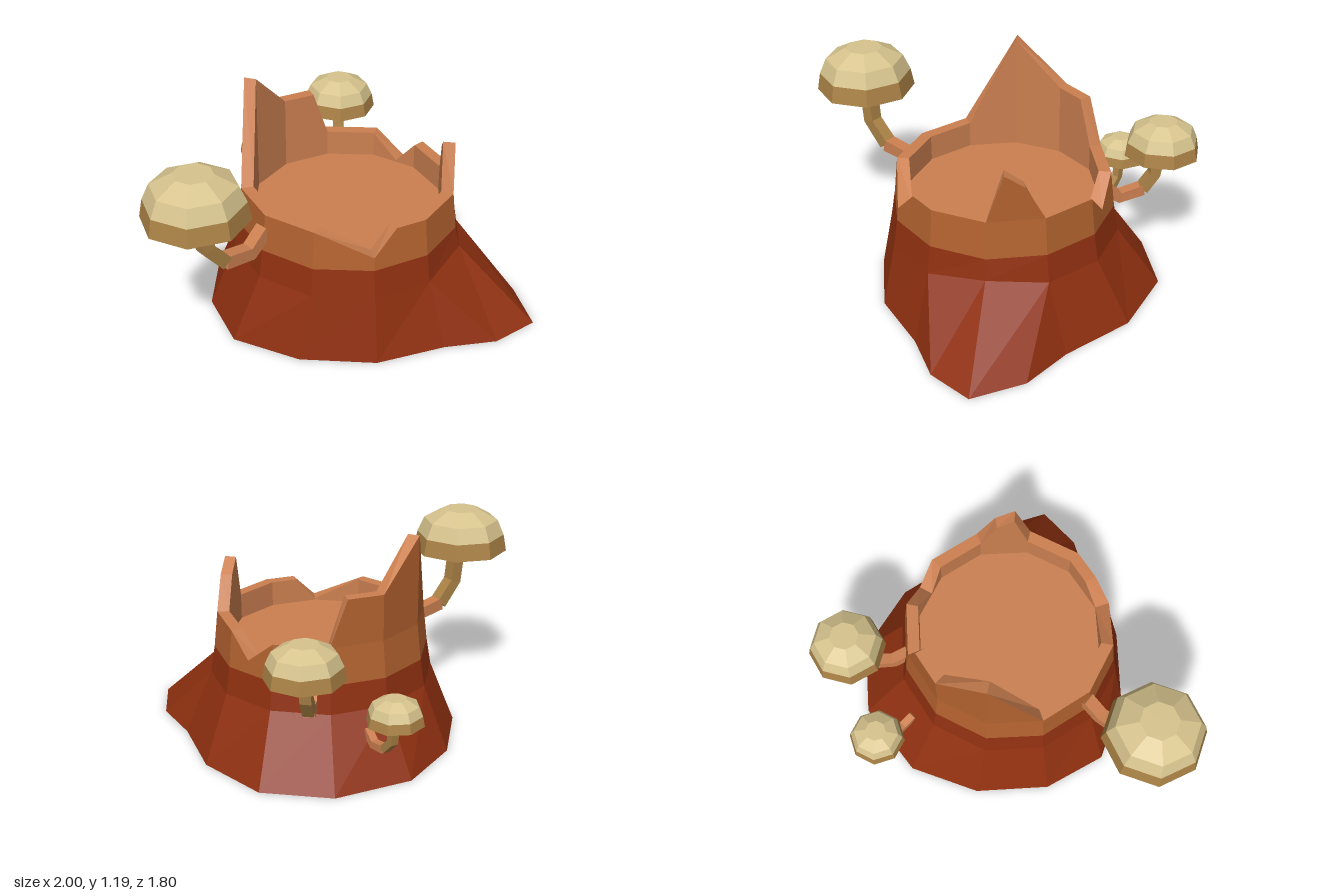
import * as THREE from 'three';

const mat = (name, color) =>
  new THREE.MeshStandardMaterial({ name, color, flatShading: true, side: THREE.DoubleSide });
const V = (x, y, z) => new THREE.Vector3(x, y, z);
const CX = 0.11, CZ = 0.155; // stump axis

// Point on a twelve-sided ring; angle 0 is the front, 90 is +x
function ring(deg, r, y) {
  const a = THREE.MathUtils.degToRad(deg);
  const d = THREE.MathUtils.degToRad((deg % 30) - 15);
  const k = r * Math.cos(Math.PI / 12) / Math.cos(d);
  return V(CX + k * Math.sin(a), y, CZ + k * Math.cos(a));
}

// Skin between successive closed loops of equal length
function loft(name, loops, material) {
  const pos = [];
  const tri = (a, b, c) => {
    const area = b.clone().sub(a).cross(c.clone().sub(a)).length();
    if (area > 1e-7) for (const p of [a, b, c]) pos.push(p.x, p.y, p.z);
  };
  for (let k = 0; k < loops.length - 1; k++) {
    const lo = loops[k], hi = loops[k + 1], n = lo.length;
    for (let i = 0; i < n; i++) {
      const j = (i + 1) % n;
      tri(lo[i], lo[j], hi[j]);
      tri(lo[i], hi[j], hi[i]);
    }
  }
  const geo = new THREE.BufferGeometry();
  geo.setAttribute('position', new THREE.Float32BufferAttribute(pos, 3));
  geo.computeVertexNormals();
  const mesh = new THREE.Mesh(geo, material);
  mesh.name = name;
  return mesh;
}

// Four-sided branch following a bent path, with mitred corners
function branch(name, path, w, material) {
  const first = path[0], last = path[path.length - 1];
  const side = V(last.z - first.z, 0, first.x - last.x).normalize();
  const loops = path.map((p, i) => {
    const t = path[Math.min(i + 1, path.length - 1)].clone()
      .sub(path[Math.max(i - 1, 0)]).normalize();
    const up = t.clone().cross(side).normalize();
    return [[1, 1], [-1, 1], [-1, -1], [1, -1]].map(([s, u]) =>
      p.clone().addScaledVector(side, s * w / 2).addScaledVector(up, u * w / 2));
  });
  const capLoop = (p) => Array(4).fill(p);
  return loft(name, [capLoop(first), ...loops, capLoop(last)], material);
}

export function createModel() {
  const red = mat('dark red bark', 0x8f3010);
  const bark = mat('orange bark', 0xb2622f);
  const wood = mat('bare wood', 0xcb7f50);
  const gill = mat('mushroom tan', 0xab8246);
  const cream = mat('mushroom cream', 0xd6c38d);
  const model = new THREE.Group();
  model.name = 'mushroomStump';

  // Flared foot: [x, z on the ground, angle of the ring corner above]
  const foot = [
    [0.11, 0.84, 0], [0.48, 0.79, 30], [0.76, 0.8, 30], [1, 0.69, 60], [1, 0.39, 90],
    [0.87, 0.12, 90], [0.76, -0.28, 120], [0.49, -0.6, 150], [0.11, -0.695, 180],
    [-0.3, -0.55, 210], [-0.54, -0.24, 240], [-0.64, 0.15, 270], [-0.57, 0.5, 300],
    [-0.27, 0.73, 330],
  ];
  model.add(loft('flaredFoot', [
    foot.map(([x, z]) => V(x, 0, z)),
    foot.map(([, , a]) => ring(a, 0.612, a === 60 ? 0.39 : 0.35)),
    foot.map(([, , a]) => ring(a, 0.587, 0.5)),
  ], red));

  // Broken rim: [angle, height]
  const rim = [
    [0, 0.57], [13, 0.7], [30, 0.7], [60, 0.7], [69, 0.95], [80, 0.88], [90, 0.7],
    [120, 0.7], [133, 0.57], [150, 0.7], [180, 0.7], [190, 0.95], [210, 0.95],
    [240, 1.19], [270, 0.7], [300, 0.7], [330, 0.7],
  ];
  const floorY = 0.56;
  const outerR = (y) => (y < 0.7 ? 0.587 - (y - 0.5) * 0.11 : 0.565);
  const outer = rim.map(([a, y]) => ring(a, outerR(y), y));
  const inner = rim.map(([a, y]) => ring(a, 0.5, y));
  const floor = rim.map(([a]) => ring(a, 0.5, floorY));
  model.add(loft('upperBark', [
    rim.map(([a]) => ring(a, 0.587, 0.5)),
    rim.map(([a, y]) => ring(a, outerR(Math.min(y, 0.7)), Math.min(y, 0.7))),
    outer,
  ], bark));
  model.add(loft('rimAndHollow', [outer, inner, floor], wood));
  model.add(loft('hollowFloor', [floor, rim.map(() => V(CX, floorY, CZ))], wood));

  // Mushrooms: cap centre, base height, scale, turn, branch path and width
  const mushrooms = [
    { name: 'largeMushroom', x: -0.74, z: 0.637, y: 0.86, s: 1, turn: 30, w: 0.07,
      path: [V(-0.38, 0.61, 0.42), V(-0.47, 0.525, 0.48), V(-0.61, 0.55, 0.57),
        V(-0.7, 0.67, 0.625), V(-0.73, 0.95, 0.635)] },
    { name: 'mediumMushroom', x: 0.255, z: -0.703, y: 0.67, s: 0.77, turn: 35, w: 0.06,
      path: [V(0.2, 0.5, -0.36), V(0.21, 0.42, -0.48), V(0.23, 0.45, -0.61),
        V(0.245, 0.54, -0.67), V(0.255, 0.74, -0.7)] },
    { name: 'smallMushroom', x: -0.19, z: -0.69, y: 0.41, s: 0.56, turn: 22.5, w: 0.042,
      path: [V(-0.08, 0.26, -0.46), V(-0.105, 0.215, -0.53), V(-0.15, 0.225, -0.61),
        V(-0.18, 0.29, -0.67), V(-0.19, 0.46, -0.69)] },
  ];
  for (const m of mushrooms) {
    const g = new THREE.Group();
    g.name = m.name;
    const oct = (r, h) => Array.from({ length: 8 }, (_, i) => {
      const a = THREE.MathUtils.degToRad(m.turn + i * 45);
      return V(m.x + r * m.s * Math.sin(a), m.y + h * m.s, m.z + r * m.s * Math.cos(a));
    });
    g.add(loft('capSkirt', [oct(0.268, 0), oct(0.25, 0.095)], gill));
    g.add(loft('capTop', [oct(0.25, 0.095), oct(0.212, 0.18), oct(0.1, 0.24), oct(0, 0.24)], cream));
    g.add(branch('branchRoot', m.path.slice(0, 3), m.w, wood));
    g.add(branch('stem', m.path.slice(2), m.w, gill));
    model.add(g);
  }
  return model;
}
